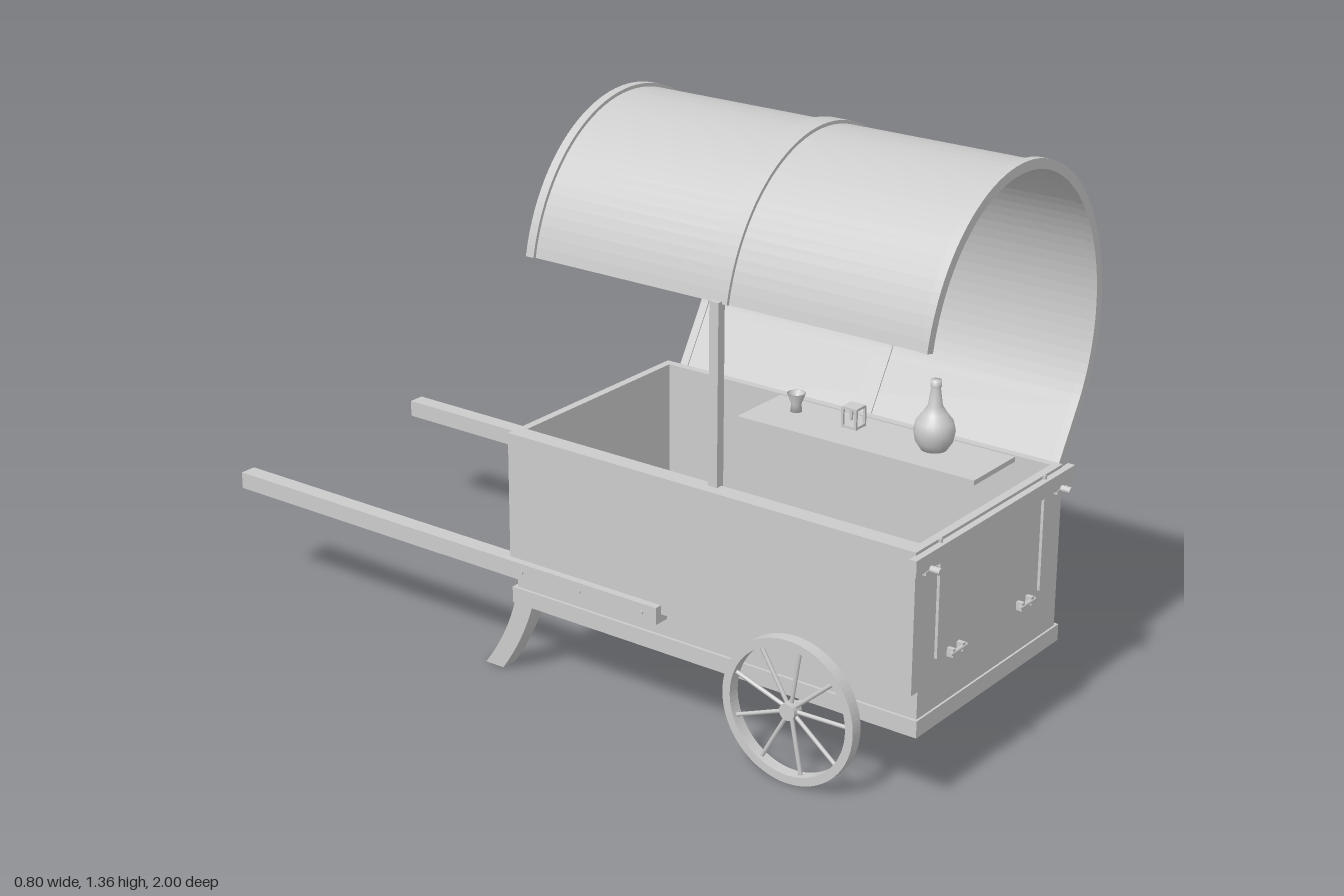
import * as THREE from 'three';

const mat = new THREE.MeshStandardMaterial({ color: 0xcccccc, side: THREE.DoubleSide });

// Adds a named mesh to a parent
function add(parent, name, geo, x = 0, y = 0, z = 0) {
  const m = new THREE.Mesh(geo, mat);
  m.name = name;
  m.position.set(x, y, z);
  parent.add(m);
  return m;
}

// Box given by its limits on each axis
function box(parent, name, x0, x1, y0, y1, z0, z1) {
  return add(parent, name, new THREE.BoxGeometry(x1 - x0, y1 - y0, z1 - z0),
    (x0 + x1) / 2, (y0 + y1) / 2, (z0 + z1) / 2);
}

// Canopy profile: elliptical arc from the open side (-x) over the top, ending in a straight tail on +x
const LEFT = Math.PI - 0.22, TAIL = -0.6;
function canopyLine(inset, from) {
  const pts = [], n = 56;
  for (let i = 0; i <= n; i++) {
    const t = from + (TAIL - from) * i / n;
    pts.push(new THREE.Vector2(0.03 + (0.37 - inset) * Math.cos(t), 0.95 + (0.41 - inset) * Math.sin(t)));
  }
  pts.push(new THREE.Vector2(0.243 - inset * 0.85, 0.567 + inset * 0.5));
  return pts;
}
function canopyBand(parent, name, outer, inner, z0, z1, from = LEFT) {
  const shape = new THREE.Shape([...canopyLine(outer, from), ...canopyLine(inner, from).reverse()]);
  const geo = new THREE.ExtrudeGeometry(shape, { depth: z1 - z0, bevelEnabled: false, steps: 1 });
  return add(parent, name, geo, 0, 0, z0);
}

function makeWheel() {
  const g = new THREE.Group();
  g.name = 'wheel';
  const rim = new THREE.Shape().absarc(0, 0, 0.172, 0, Math.PI * 2, false);
  rim.holes.push(new THREE.Path().absarc(0, 0, 0.152, 0, Math.PI * 2, true));
  add(g, 'rim', new THREE.ExtrudeGeometry(rim, { depth: 0.03, bevelEnabled: false, curveSegments: 40 }), 0, 0, -0.015);
  add(g, 'hub', new THREE.CylinderGeometry(0.02, 0.02, 0.03, 20).rotateX(Math.PI / 2));
  for (let i = 0; i < 9; i++) {
    const spoke = new THREE.CylinderGeometry(0.005, 0.005, 0.14, 8).translate(0, 0.085, 0);
    add(g, 'spoke', spoke).rotation.z = i * Math.PI * 2 / 9 + 0.15;
  }
  g.rotation.y = Math.PI / 2;
  return g;
}

export function createModel() {
  const model = new THREE.Group();
  model.name = 'canopyHandcart';
  const MID = -0.055;

  // Open tub on a base slab
  const body = new THREE.Group();
  body.name = 'body';
  model.add(body);
  box(body, 'baseSlab', -0.352, 0.247, 0.185, 0.225, -0.15, 0.965);
  box(body, 'leftWall', 0.215, 0.235, 0.225, 0.62, -0.14, 0.96);
  box(body, 'rightWall', -0.345, -0.325, 0.225, 0.62, -0.14, 0.96);
  box(body, 'rightOuterPanel', -0.37, -0.345, 0.29, 0.62, -0.14, 0.96);
  box(body, 'backWall', -0.325, 0.215, 0.225, 0.62, -0.14, -0.12);
  box(body, 'frontWall', -0.325, 0.215, 0.225, 0.62, 0.94, 0.96);

  // Front rail with pegs, straps and pull handles
  box(model, 'frontRail', -0.393, 0.263, 0.575, 0.613, 0.958, 0.976);
  for (const x of [-0.335, 0.207]) {
    add(model, 'railPeg', new THREE.CylinderGeometry(0.008, 0.008, 0.05, 12).rotateX(Math.PI / 2), x, 0.575, 0.975);
    box(model, 'pegPlate', x - 0.022, x + 0.022, 0.567, 0.576, 0.958, 0.978);
  }
  for (const x of [-0.28, 0.15]) box(model, 'strap', x - 0.003, x + 0.003, 0.345, 0.622, 0.96, 0.967);
  for (const x of [-0.207, 0.082]) {
    add(model, 'pullBar', new THREE.CylinderGeometry(0.005, 0.005, 0.066, 10).rotateZ(Math.PI / 2), x, 0.34, 0.973);
    for (const s of [-0.02, 0.02]) box(model, 'pullMount', x + s - 0.005, x + s + 0.005, 0.33, 0.35, 0.958, 0.976);
  }

  // Wheels, axle, push bars and splayed legs
  add(model, 'axle', new THREE.CylinderGeometry(0.007, 0.007, 0.66, 12).rotateZ(Math.PI / 2), MID, 0.175, 0.665);
  for (const s of [-1, 1]) {
    const wheel = makeWheel();
    wheel.position.set(MID + s * 0.33, 0.172, 0.665);
    model.add(wheel);

    const bx = MID + s * 0.313;
    box(model, 'pushBar', bx - 0.021, bx + 0.021, 0.27, 0.312, -1, 0.3);
    for (const z of [0.26, 0.08, -0.09]) {
      add(model, 'bolt', new THREE.CylinderGeometry(0.005, 0.005, 0.05, 10).rotateZ(Math.PI / 2), bx, 0.291, z);
    }

    // Leg profile drawn with -z to the right, then turned to face sideways
    const leg = new THREE.Shape();
    leg.moveTo(0.095, 0.19);
    leg.quadraticCurveTo(0.125, 0.09, 0.19, 0);
    leg.lineTo(0.243, 0);
    leg.quadraticCurveTo(0.175, 0.09, 0.148, 0.19);
    const legGeo = new THREE.ExtrudeGeometry(leg, { depth: 0.045, bevelEnabled: false, curveSegments: 8 })
      .translate(0, 0, -0.0225).rotateY(Math.PI / 2);
    add(model, 'leg', legGeo, MID + s * 0.268);
  }

  // Canopy sheet, ribs, side curtains and the single post
  const canopy = new THREE.Group();
  canopy.name = 'canopy';
  model.add(canopy);
  canopyBand(canopy, 'sheet', 0.008, 0.02, -0.105, 0.94);
  for (const [z0, z1] of [[-0.11, -0.088], [0.395, 0.445], [0.925, 0.945]]) canopyBand(canopy, 'rib', 0, 0.023, z0, z1);
  for (const [z0, z1] of [[-0.085, 0.4], [0.44, 0.93]]) canopyBand(canopy, 'sideCurtain', 0.004, 0.012, z0, z1, 0.025);
  box(canopy, 'post', -0.343, -0.32, 0.3, 1.045, 0.408, 0.432);

  // Shelf with bottle, lantern and cup
  box(model, 'shelf', 0.04, 0.235, 0.605, 0.617, 0.21, 0.85);
  const lathe = (name, pts, x, y, z) => add(model, name,
    new THREE.LatheGeometry(pts.map(p => new THREE.Vector2(...p)), 28), x, y, z);
  lathe('bottle', [[0, 0], [0.03, 0], [0.043, 0.02], [0.048, 0.046], [0.043, 0.068], [0.028, 0.088], [0.017, 0.105],
    [0.011, 0.148], [0.013, 0.15], [0.013, 0.166], [0, 0.166]], 0.145, 0.617, 0.68);
  lathe('cup', [[0, 0], [0.014, 0], [0.012, 0.018], [0.022, 0.045], [0.019, 0.045], [0.009, 0.02], [0, 0.02]], 0.15, 0.617, 0.3);
  const lantern = new THREE.Group();
  lantern.name = 'lantern';
  lantern.position.set(0.15, 0.617, 0.46);
  model.add(lantern);
  for (const y of [0, 0.045]) box(lantern, 'lanternPlate', -0.02, 0.02, y, y + 0.006, -0.02, 0.02);
  for (const x of [-0.018, 0.018]) for (const z of [-0.018, 0.018]) {
    box(lantern, 'lanternBar', x - 0.003, x + 0.003, 0, 0.05, z - 0.003, z + 0.003);
  }
  return model;
}
